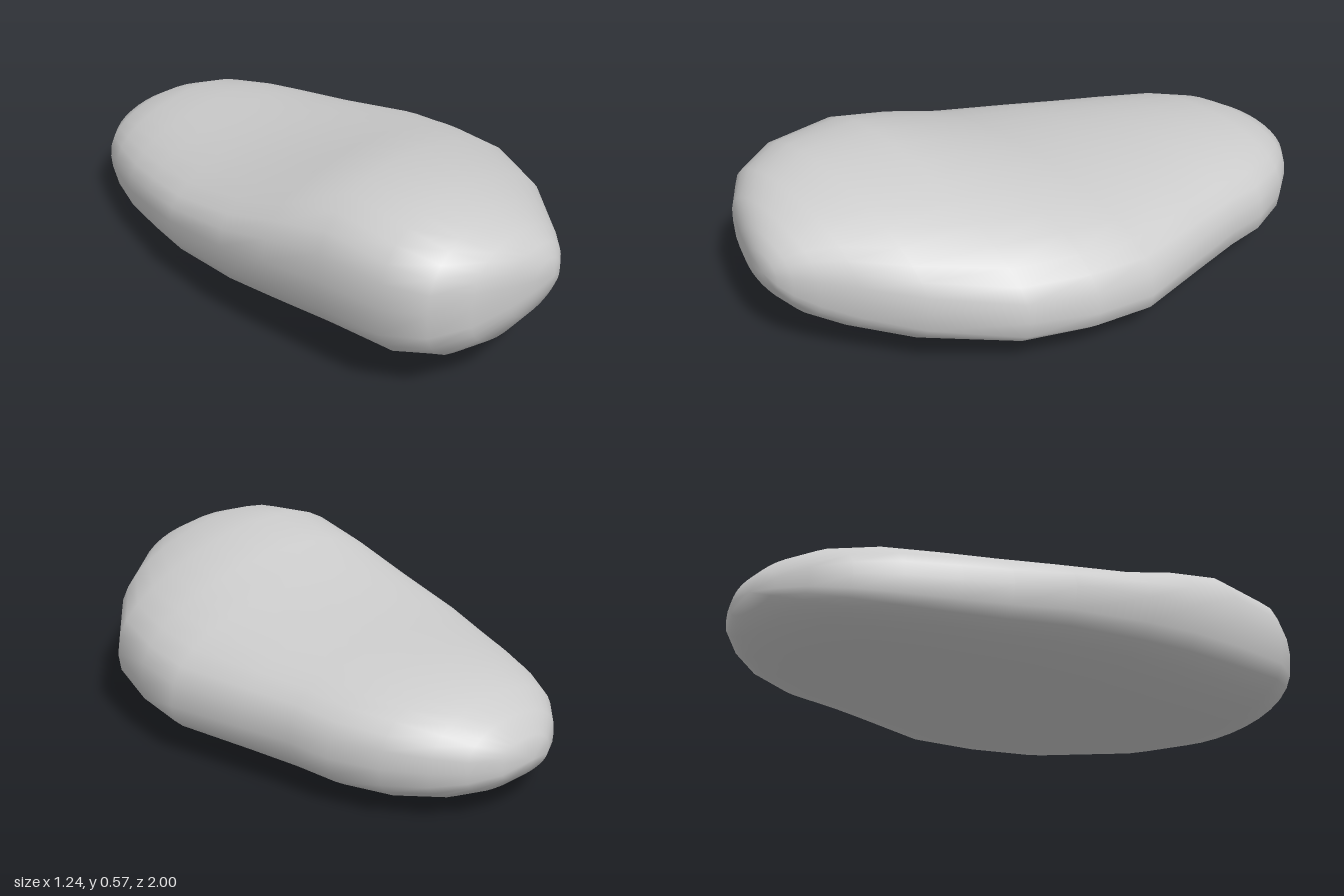
import * as THREE from 'three';

// Cross-sections from front to back:
// z, left edge x, right edge x, edge heights (at -x, +x), crown heights (at -x, +x), underside
const SECTIONS = [
  [0.985, -0.24, -0.09, 0.32, 0.31, 0.38, 0.37, 0.26],
  [0.96, -0.33, -0.04, 0.32, 0.30, 0.43, 0.41, 0.205],
  [0.91, -0.46, 0.03, 0.32, 0.29, 0.49, 0.44, 0.14],
  [0.83, -0.565, 0.13, 0.32, 0.27, 0.55, 0.46, 0.09],
  [0.70, -0.62, 0.295, 0.32, 0.25, 0.61, 0.46, 0.055],
  [0.47, -0.61, 0.495, 0.32, 0.21, 0.65, 0.44, 0.035],
  [0.25, -0.595, 0.575, 0.30, 0.18, 0.57, 0.44, 0.025],
  [0.05, -0.57, 0.615, 0.27, 0.17, 0.48, 0.43, 0.015],
  [-0.23, -0.50, 0.58, 0.23, 0.17, 0.41, 0.41, 0.007],
  [-0.42, -0.42, 0.557, 0.20, 0.17, 0.385, 0.40, 0],
  [-0.57, -0.355, 0.547, 0.18, 0.16, 0.37, 0.385, 0],
  [-0.73, -0.265, 0.50, 0.17, 0.16, 0.35, 0.365, 0.008],
  [-0.85, -0.18, 0.425, 0.16, 0.16, 0.315, 0.325, 0.03],
  [-0.93, -0.08, 0.35, 0.16, 0.16, 0.27, 0.28, 0.065],
  [-0.98, 0.02, 0.25, 0.155, 0.155, 0.22, 0.225, 0.105],
];
const FRONT_TIP = [-0.15, 0.32, 1];
const BACK_TIP = [0.125, 0.155, -1];
const SIDES = 32;

// Rounded crown above the tilted edge line, flatter underside below it
function sectionPoint([z, x0, x1, y0, y1, t0, t1, bottom], angle) {
  const c = Math.cos(angle), s = Math.sin(angle), f = (c + 1) / 2;
  const edge = THREE.MathUtils.lerp(y0, y1, f);
  const crown = THREE.MathUtils.lerp(t0, t1, f);
  const y = s >= 0
    ? edge + (crown - edge) * Math.pow(s, 0.8)
    : edge + (bottom - edge) * Math.pow(-s, 0.65);
  return [THREE.MathUtils.lerp(x0, x1, f), y, z];
}

function pebbleGeometry() {
  const positions = [...FRONT_TIP];
  for (const section of SECTIONS) {
    for (let i = 0; i < SIDES; i++) {
      positions.push(...sectionPoint(section, (i / SIDES) * Math.PI * 2));
    }
  }
  positions.push(...BACK_TIP);

  const index = [];
  const at = (row, i) => 1 + row * SIDES + (i % SIDES);
  const last = SECTIONS.length - 1;
  const backTip = 1 + SECTIONS.length * SIDES;
  for (let i = 0; i < SIDES; i++) {
    index.push(0, at(0, i), at(0, i + 1));
    for (let r = 0; r < last; r++) {
      index.push(at(r, i), at(r + 1, i), at(r + 1, i + 1));
      index.push(at(r, i), at(r + 1, i + 1), at(r, i + 1));
    }
    index.push(at(last, i), backTip, at(last, i + 1));
  }

  const geometry = new THREE.BufferGeometry();
  geometry.setAttribute('position', new THREE.Float32BufferAttribute(positions, 3));
  geometry.setIndex(index);
  geometry.computeVertexNormals();
  return geometry;
}

export function createModel() {
  const group = new THREE.Group();
  group.name = 'pebble';
  const stone = new THREE.Mesh(
    pebbleGeometry(),
    new THREE.MeshStandardMaterial({ color: 0xcccccc })
  );
  stone.name = 'stone';
  group.add(stone);
  return group;
}
